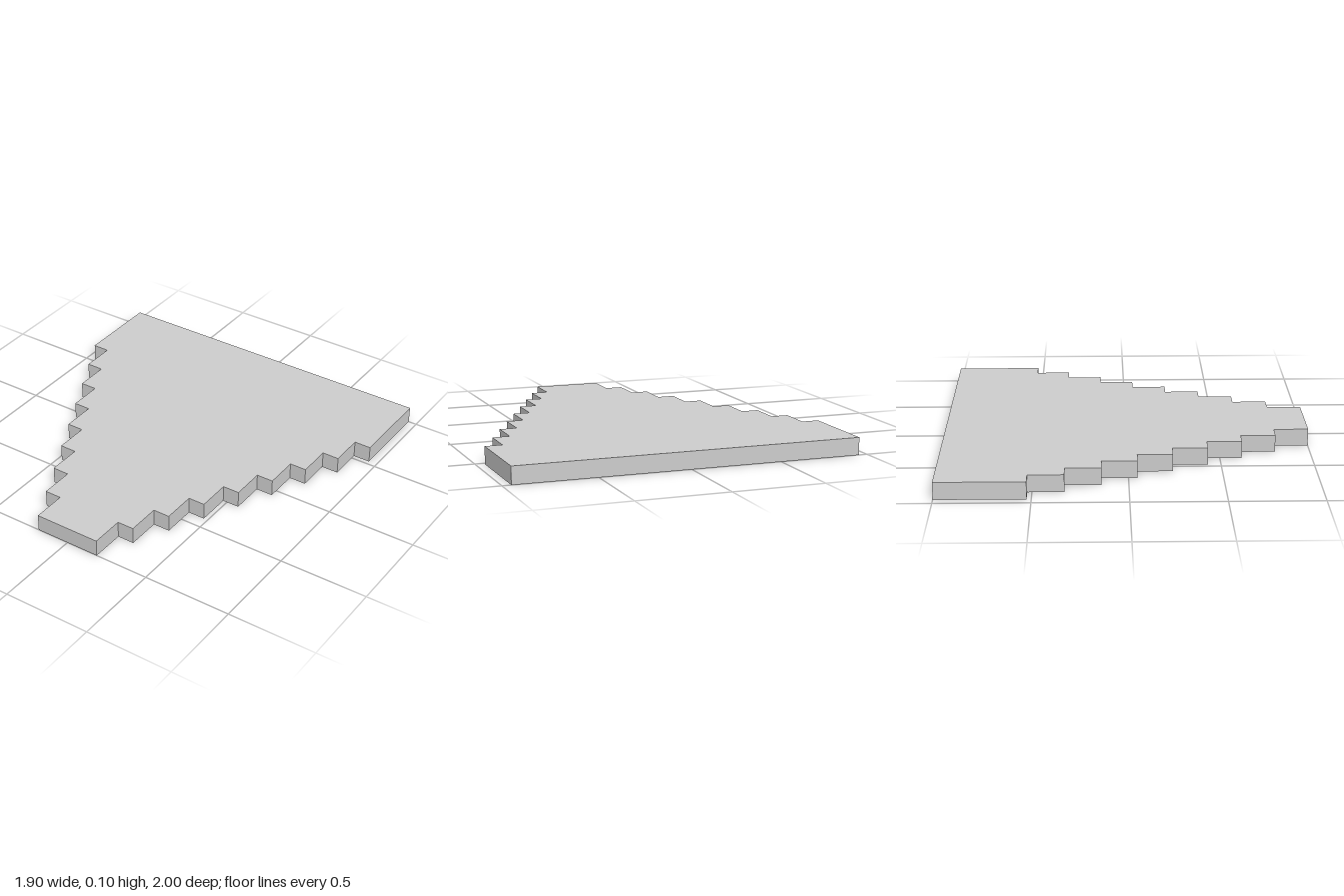
import * as THREE from 'three';

export function createModel() {
  const group = new THREE.Group();
  const unit = 2 / 21; // step width and slab thickness
  const steps = 9;

  // Right-hand outline from back to front: a deep back row, then equal steps narrowing by one unit a side
  const side = [];
  let y = 1;
  for (let i = 0; i < steps; i++) {
    const x = (10 - i) * unit;
    side.push(new THREE.Vector2(x, y));
    y -= (i === 0 ? 5 : 2) * unit;
    side.push(new THREE.Vector2(x, y));
  }
  const mirrored = side.map((p) => new THREE.Vector2(-p.x, p.y)).reverse();

  // Stepped slab, laid flat on the ground
  const geometry = new THREE.ExtrudeGeometry(new THREE.Shape([...side, ...mirrored]), {
    depth: unit,
    bevelEnabled: false,
  });
  geometry.rotateX(-Math.PI / 2);

  const slab = new THREE.Mesh(
    geometry,
    new THREE.MeshStandardMaterial({ color: 0xcccccc, flatShading: true })
  );
  slab.name = 'steppedSlab';
  group.add(slab);
  return group;
}
